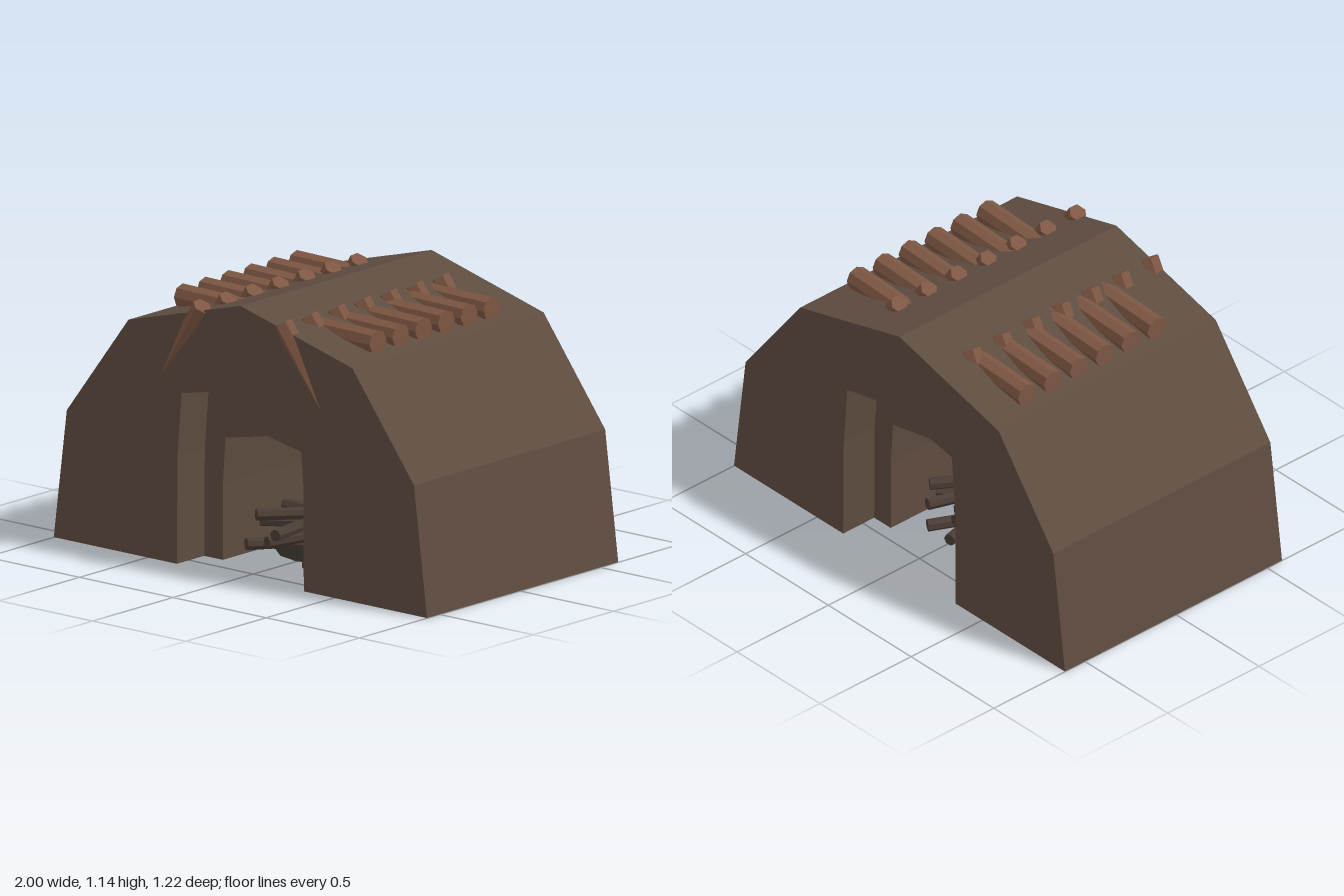
import * as THREE from 'three';

const material = (color) => new THREE.MeshStandardMaterial({ color, flatShading: true });

// Mirror a half arch (foot to ridge, +x side) into a full seven-point arch
function arch(half) {
  const left = half.slice(0, -1).reverse().map(([x, y]) => [-x, y]);
  return [...half, ...left];
}

// Low-poly log running between two points
function makeLog(name, from, to, r, mat, sides = 7, tip = r) {
  const a = new THREE.Vector3(...from), b = new THREE.Vector3(...to);
  const dir = b.clone().sub(a);
  const mesh = new THREE.Mesh(new THREE.CylinderGeometry(tip, r, dir.length(), sides), mat);
  mesh.position.copy(a).add(b).multiplyScalar(0.5);
  mesh.quaternion.setFromUnitVectors(new THREE.Vector3(0, 1, 0), dir.normalize());
  mesh.name = name;
  return mesh;
}

// Thick vaulted shell: arches joined in a closed loop, with a stepped doorway at each end
function makeShell(mat) {
  const outer = arch([[1, 0], [0.93, 0.545], [0.6, 0.98], [0, 1.14]]);
  const door = arch([[0.34, 0], [0.337, 0.45], [0.315, 0.72], [0, 0.785]]);
  const tunnel = arch([[0.24, 0], [0.24, 0.32], [0.226, 0.515], [0, 0.56]]);
  const front = 0.58, back = -0.61, stepFront = 0.41, stepBack = -0.44;
  const loop = [
    [outer, front], [outer, back], [door, back], [door, stepBack],
    [tunnel, stepBack], [tunnel, stepFront], [door, stepFront], [door, front],
  ];
  const pos = [];
  const quad = (a, b, c, d) => pos.push(...a, ...b, ...c, ...a, ...c, ...d);
  loop.forEach(([p, z], k) => {
    const [q, w] = loop[(k + 1) % loop.length];
    for (let i = 0; i < 6; i++) {
      quad([...p[i], z], [...q[i], w], [...q[i + 1], w], [...p[i + 1], z]);
    }
  });
  // Undersides of the two feet
  const under = (x0, x1, z0, z1) =>
    quad([x0, 0, z0], [x1, 0, z0], [x1, 0, z1], [x0, 0, z1]);
  under(0.34, 1, back, front);
  under(-1, -0.34, back, front);
  under(0.24, 0.34, stepBack, stepFront);
  under(-0.34, -0.24, stepBack, stepFront);
  const geo = new THREE.BufferGeometry();
  geo.setAttribute('position', new THREE.Float32BufferAttribute(pos, 3));
  geo.computeVertexNormals();
  const mesh = new THREE.Mesh(geo, mat);
  mesh.name = 'shell';
  return mesh;
}

export function createModel() {
  const model = new THREE.Group();
  model.name = 'shelter';
  const earth = material(0x5e4c40), timber = material(0x7d5643);
  const firewood = material(0x4a3d34), ash = material(0x2b2622);

  model.add(makeShell(earth));

  // Roof timber on both slopes
  const roof = new THREE.Group();
  roof.name = 'roofTimber';
  for (const s of [-1, 1]) {
    // Level beams sunk into the slope
    for (let i = 0; i < 6; i++) {
      const z = (s > 0 ? 0.36 : 0.305) - i * 0.142;
      roof.add(makeLog('roofBeam', [s * 0.2, 1.037, z - 0.015 * s], [s * 0.548, 1.037, z], 0.05, timber, 8));
    }
    // Slanted rafters whose upper ends break through the roof
    for (let i = 0; i < 7; i++) {
      const z = 0.565 - i * 0.163;
      roof.add(makeLog('rafter', [s * 0.46, 0.73, z - 0.03], [s * 0.216, 1.1, z], 0.041, timber, 6));
    }
  }
  model.add(roof);

  // Fire pit in the middle of the passage
  const pit = new THREE.Group();
  pit.name = 'firePit';
  const bed = new THREE.Mesh(new THREE.CylinderGeometry(0.15, 0.235, 0.035, 14), ash);
  bed.position.y = 0.0185;
  bed.name = 'ashBed';
  pit.add(bed);
  // Firewood heaped in layers: [height, heading, half length, sideways shift]
  const sticks = [
    [0.035, 0.25, 0.36, 0.06], [0.035, -0.5, 0.36, -0.05], [0.04, 1.2, 0.25, 0.1],
    [0.04, 1.8, 0.24, -0.1], [0.09, 0.6, 0.36, 0.02], [0.09, 1.45, 0.23, 0.03],
    [0.1, -0.3, 0.35, 0.05], [0.11, -0.85, 0.3, -0.03], [0.14, 0.08, 0.36, -0.03],
    [0.15, 1.05, 0.26, 0.03], [0.165, 1.65, 0.21, -0.05], [0.165, -0.6, 0.33, 0.02],
  ];
  sticks.forEach(([y, angle, half, shift], i) => {
    const sx = Math.sin(angle), cz = Math.cos(angle);
    const cx = cz * shift, zz = -sx * shift, lift = i % 2 ? 0.012 : -0.008;
    pit.add(makeLog('firewood', [cx - sx * half, y - lift, zz - cz * half],
      [cx + sx * half, y + lift, zz + cz * half], 0.026, firewood, 7));
  });
  pit.add(makeLog('kindling', [0.15, 0.15, -0.1], [0.02, 0.225, 0.15], 0.022, firewood, 6, 0.012));
  model.add(pit);

  return model;
}
